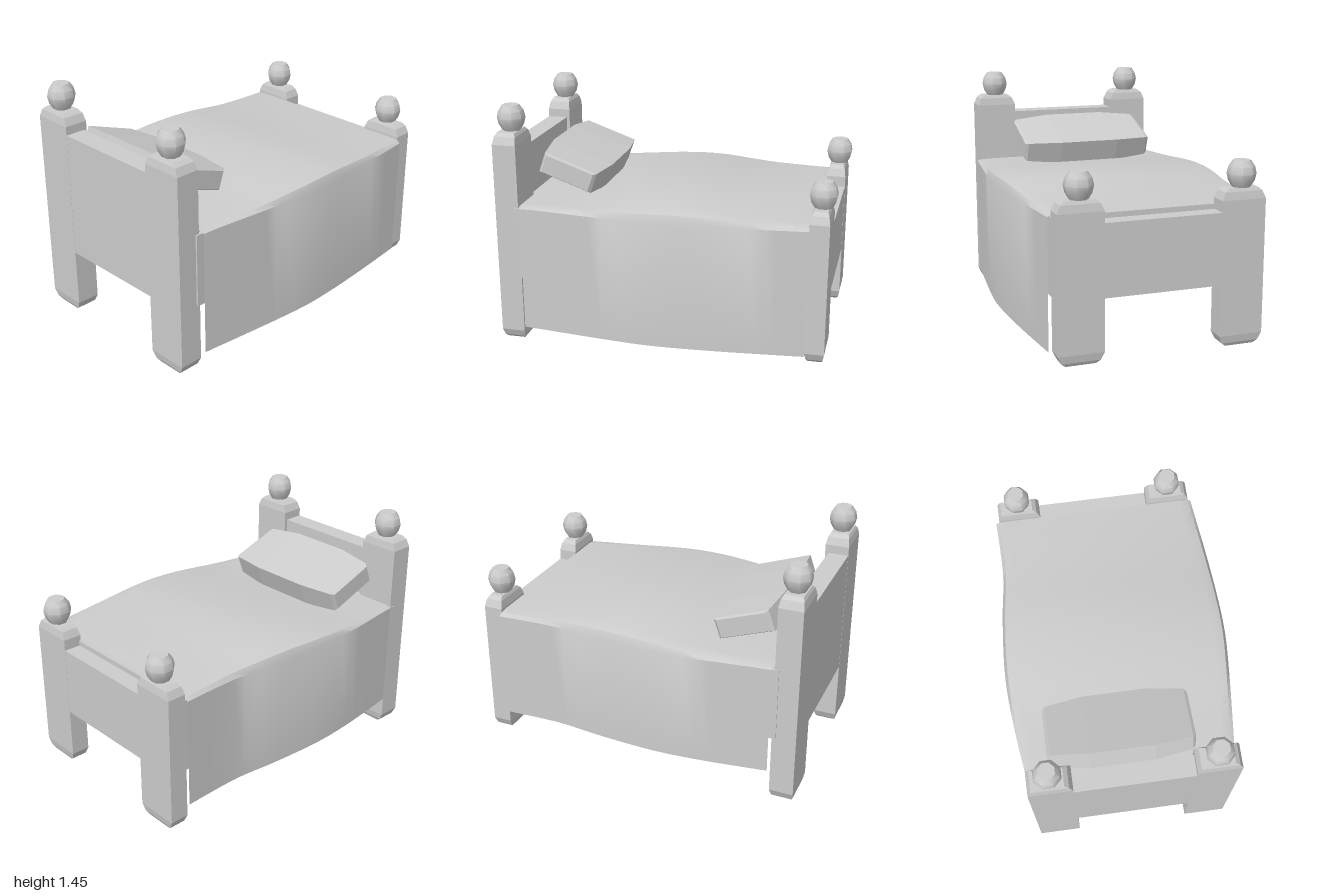
import * as THREE from 'three';
import { toCreasedNormals } from 'three/addons/utils/BufferGeometryUtils.js';
import { ConvexGeometry } from 'three/addons/geometries/ConvexGeometry.js';

const grey = new THREE.MeshStandardMaterial({ color: 0xcccccc });
const cloth = new THREE.MeshStandardMaterial({ color: 0xcccccc, side: THREE.DoubleSide });

function add(parent, name, geometry, material = grey) {
  const mesh = new THREE.Mesh(geometry, material);
  mesh.name = name;
  parent.add(mesh);
  return mesh;
}

// Box given by its limits on each axis
function box(parent, name, [x0, x1], [y0, y1], [z0, z1]) {
  const mesh = add(parent, name, new THREE.BoxGeometry(x1 - x0, y1 - y0, z1 - z0));
  mesh.position.set((x0 + x1) / 2, (y0 + y1) / 2, (z0 + z1) / 2);
}

// Square post whose ends taper in two steps
function postGeometry([x0, x1], [y0, y1], [z0, z1]) {
  const points = [];
  const steps = [[0, 0.045, 0.018], [0.02, 0.02, 0.008], [0.065, 0, 0]];
  for (const [dy, dx, dz] of steps) {
    for (const y of [y0 + dy, y1 - dy]) {
      for (const x of [x0 + dx, x1 - dx]) {
        for (const z of [z0 + dz, z1 - dz]) points.push(new THREE.Vector3(x, y, z));
      }
    }
  }
  return new ConvexGeometry(points);
}

// Eight-sided knob with flat top and bottom
function knobGeometry() {
  const profile = [[0, 0], [0.053, 0], [0.074, 0.035], [0.083, 0.075], [0.074, 0.115], [0.05, 0.15], [0, 0.15]];
  const lathe = new THREE.LatheGeometry(profile.map(([r, y]) => new THREE.Vector2(r, y)), 8, Math.PI / 8);
  return toCreasedNormals(lathe, 0.8);
}

// Two posts with knobs and the panel between them
function endBoard(name, { posts, y, z, panelY, panelZ, knobZ }) {
  const board = new THREE.Group();
  board.name = name;
  for (const x of posts) {
    add(board, 'post', postGeometry(x, y, z));
    add(board, 'knob', knobGeometry()).position.set((x[0] + x[1]) / 2 - 0.003, y[1], knobZ);
  }
  box(board, 'panel', [posts[0][1] - 0.03, posts[1][0] + 0.03], panelY, panelZ);
  return board;
}

// Smooth function of z through [z, value] pairs
function curveOverZ(pairs) {
  const spline = new THREE.SplineCurve(pairs.map(([z, v]) => new THREE.Vector2(z, v)));
  const samples = spline.getPoints(120);
  return (z) => {
    let i = 1;
    while (i < samples.length - 1 && samples[i].x < z) i++;
    const a = samples[i - 1], b = samples[i];
    return a.y + (b.y - a.y) * (z - a.x) / (b.x - a.x);
  };
}

// Open sheet: a domed top with bulging sides of unequal drop
function blanketGeometry() {
  const top = curveOverZ([[-0.86, 0.886], [-0.5, 0.908], [-0.15, 0.935], [0.15, 0.925], [0.5, 0.89], [0.84, 0.873]]);
  const left = curveOverZ([[-0.86, 0.615], [-0.4, 0.66], [0, 0.682], [0.3, 0.665], [0.84, 0.607]]);
  const right = curveOverZ([[-0.86, -0.64], [-0.5, -0.632], [-0.2, -0.665], [0.15, -0.686], [0.45, -0.67], [0.84, -0.622]]);
  const columns = 7, rows = 20;
  const geometry = new THREE.PlaneGeometry(1, 1, columns, rows);
  const position = geometry.attributes.position;
  for (let j = 0; j <= rows; j++) {
    const z = -0.86 + 1.7 * j / rows;
    const t = top(z), l = left(z), r = right(z);
    const lift = Math.max(0.012, t - 0.865);
    const section = [
      [r, 0.2], [r, t - lift], [r + 0.02, t - 0.3 * lift], [r + 0.08, t],
      [l - 0.08, t], [l - 0.02, t - 0.3 * lift], [l, t - lift], [l, 0.105],
    ];
    section.forEach(([x, y], i) => position.setXYZ(j * (columns + 1) + i, x, y, z));
  }
  return toCreasedNormals(geometry, 0.6);
}

// Cushion that narrows and thins towards both ends
function pillowGeometry() {
  const points = [];
  for (const [x, halfDepth, halfHeight] of [[0.19, 0.2, 0.075], [0.41, 0.17, 0.064], [0.427, 0.152, 0.055]]) {
    for (const sx of [-1, 1]) for (const sy of [-1, 1]) for (const sz of [-1, 1]) {
      points.push(new THREE.Vector3(sx * x, sy * halfHeight, sz * halfDepth));
    }
  }
  return new ConvexGeometry(points);
}

export function createModel() {
  const bed = new THREE.Group();
  bed.name = 'bed';

  bed.add(endBoard('headboard', {
    posts: [[-0.61, -0.358], [0.332, 0.585]], y: [0, 1.3], z: [0.855, 0.998],
    panelY: [0.42, 1.183], panelZ: [0.875, 0.997], knobZ: 0.922,
  }));
  bed.add(endBoard('footboard', {
    posts: [[-0.618, -0.355], [0.33, 0.595]], y: [0.05, 0.965], z: [-0.973, -0.858],
    panelY: [0.418, 0.835], panelZ: [-0.972, -0.866], knobZ: -0.92,
  }));

  // Hollow frame under the blanket
  box(bed, 'leftRail', [0.57, 0.595], [0.42, 0.86], [-0.87, 0.88]);
  box(bed, 'rightRail', [-0.615, -0.59], [0.42, 0.86], [-0.87, 0.88]);
  box(bed, 'mattressBase', [-0.59, 0.57], [0.835, 0.865], [-0.87, 0.88]);

  add(bed, 'blanket', blanketGeometry(), cloth);

  const pillow = add(bed, 'pillow', pillowGeometry());
  pillow.position.set(-0.058, 1.025, 0.622);
  pillow.rotation.x = -0.34;
  return bed;
}
